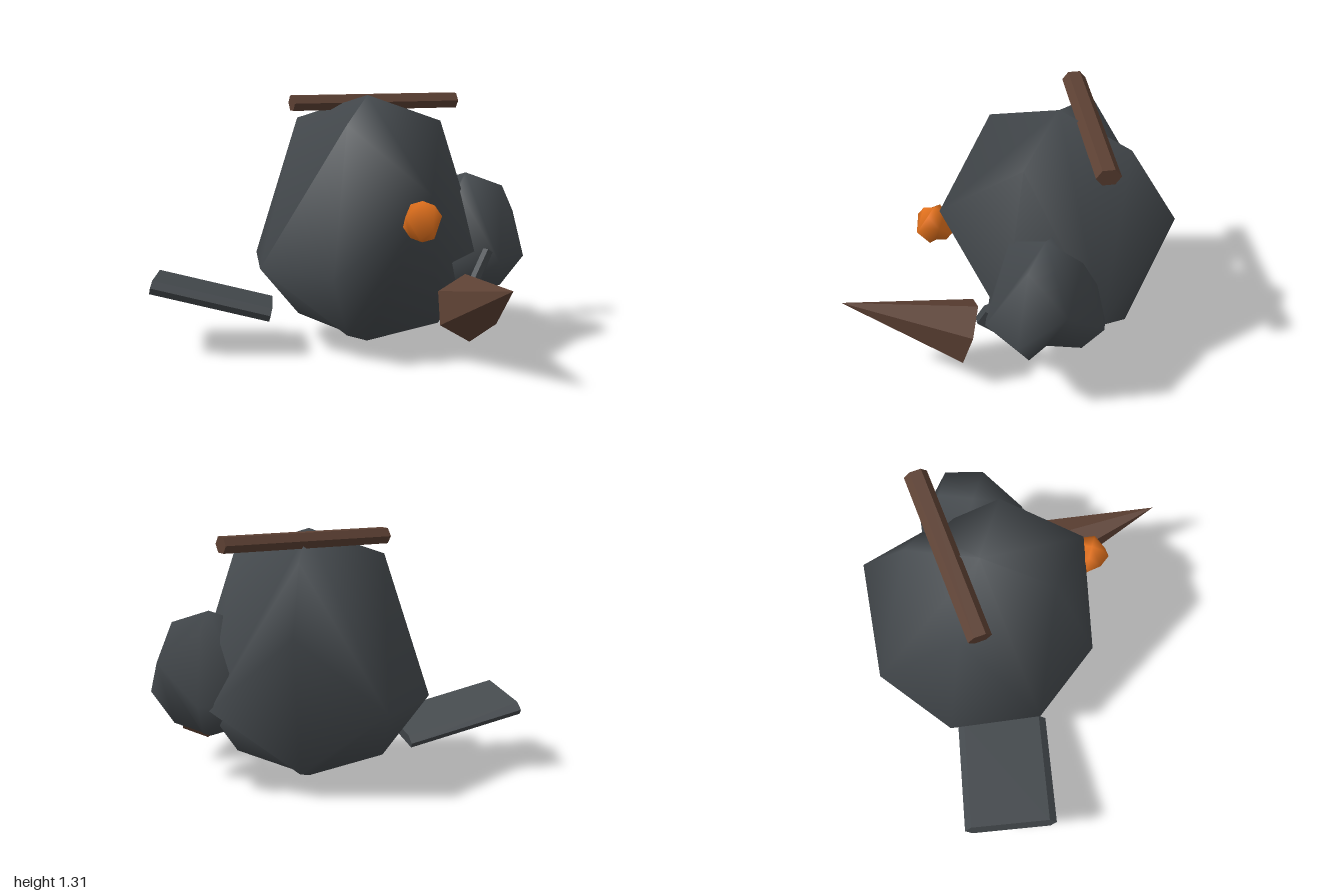
import * as THREE from 'three';

const mat = (name, color) => {
  const m = new THREE.MeshStandardMaterial({ color });
  m.name = name;
  return m;
};

// Smooth-shaded ball: ridges on four meridians, each valley between them fanning out from one point.
// "rings" gives, for the eight meridians from the front towards +x, the ring of the widest point.
function lumpGeometry(r, rings) {
  const pos = [], idx = [];
  const add = (ring, k) => {
    const t = ring * Math.PI / 5, p = k * Math.PI / 4;
    pos.push(r * Math.sin(t) * Math.sin(p), r * Math.cos(t), r * Math.sin(t) * Math.cos(p));
    return pos.length / 3 - 1;
  };
  const top = add(0, 0), bottom = add(5, 0);
  const columns = rings.map((ring, k) => (k % 2 ? [add(ring, k)] : [top, add(1, k), add(ring, k), add(4, k), bottom]));
  for (let k = 1; k < 8; k += 2) {
    const [valley] = columns[k];
    const before = columns[k - 1], after = columns[(k + 1) % 8];
    for (let i = 0; i < 4; i++) {
      idx.push(before[i], before[i + 1], valley, after[i + 1], after[i], valley);
    }
  }
  const g = new THREE.BufferGeometry();
  g.setAttribute('position', new THREE.Float32BufferAttribute(pos, 3));
  g.setIndex(idx);
  g.computeVertexNormals();
  return g;
}

// Gives every face its own flat normal.
function faceted(g) {
  const f = g.index ? g.toNonIndexed() : g;
  f.computeVertexNormals();
  return f;
}

// Six-sided slab with narrow bevelled long sides, extruded along z.
function slabGeometry(width, thickness, length, bevel) {
  const w = width / 2, t = thickness / 2;
  const shape = new THREE.Shape([
    [w, 0], [w - bevel, t], [bevel - w, t], [-w, 0], [bevel - w, -t], [w - bevel, -t],
  ].map(([x, y]) => new THREE.Vector2(x, y)));
  const g = new THREE.ExtrudeGeometry(shape, { depth: length, bevelEnabled: false });
  g.translate(0, 0, -length / 2);
  return faceted(g);
}

// Turns a mesh so its local "main" axis follows one direction and its "side" axis another.
function orient(mesh, main, mainDir, sideDir) {
  const m = new THREE.Vector3(...mainDir).normalize();
  const s = new THREE.Vector3(...sideDir);
  s.addScaledVector(m, -s.dot(m)).normalize();
  const basis = new THREE.Matrix4();
  if (main === 'y') basis.makeBasis(m.clone().cross(s), m, s); // side is z
  else basis.makeBasis(s, m.clone().cross(s), m); // main is z, side is x
  mesh.quaternion.setFromRotationMatrix(basis);
}

export function createModel() {
  const model = new THREE.Group();
  const grey = mat('dark grey', 0x454a4e);
  const brown = mat('brown', 0x5c4033);
  const orange = mat('orange', 0xe2711d);

  const part = (name, geometry, material, position) => {
    const mesh = new THREE.Mesh(geometry, material);
    mesh.name = name;
    mesh.position.set(...position);
    model.add(mesh);
    return mesh;
  };

  // Rounded lumps
  part('body', lumpGeometry(0.655, [3, 2, 3, 3, 2, 3, 3, 3]), grey, [0.11, 0.655, -0.07]);
  part('sideLump', lumpGeometry(0.327, [3, 3, 3, 2, 3, 3, 3, 3]), grey, [0.6, 0.577, -0.235]);
  part('orangeBall', lumpGeometry(0.1, [2, 3, 2, 2, 3, 3, 3, 2]), orange, [0.515, 0.74, 0.425]);

  // Flat slabs, one lying beside the body and one mostly buried
  const slab = part('slab', slabGeometry(0.48, 0.07, 0.62, 0.035), grey, [-0.633, 0.275, 0.264]);
  orient(slab, 'z', [0.92, -0.24, -0.31], [0.34, 0.065, 0.94]);
  const chip = part('buriedSlab', slabGeometry(0.2, 0.05, 0.18, 0.02), grey, [0.72, 0.43, -0.03]);
  orient(chip, 'z', [0.3, 0.8, -0.45], [0.2, 0.45, 0.85]);

  // Slightly flattened six-sided stick lying across the top
  const stickShape = new THREE.CylinderGeometry(0.045, 0.045, 0.917, 6).scale(1, 1, 1.33);
  const stick = part('stick', faceted(stickShape), brown, [0.105, 1.267, -0.232]);
  orient(stick, 'y', [0.752, 0, -0.525], [0.525, 0, 0.752]);

  // Six-sided spike
  const spike = part('spike', faceted(new THREE.ConeGeometry(0.17, 0.65, 6)), brown, [0.842, 0.38, 0.427]);
  orient(spike, 'y', [0.3, 0.215, 0.53], [-0.022, 0.155, -0.05]);

  return model;
}
